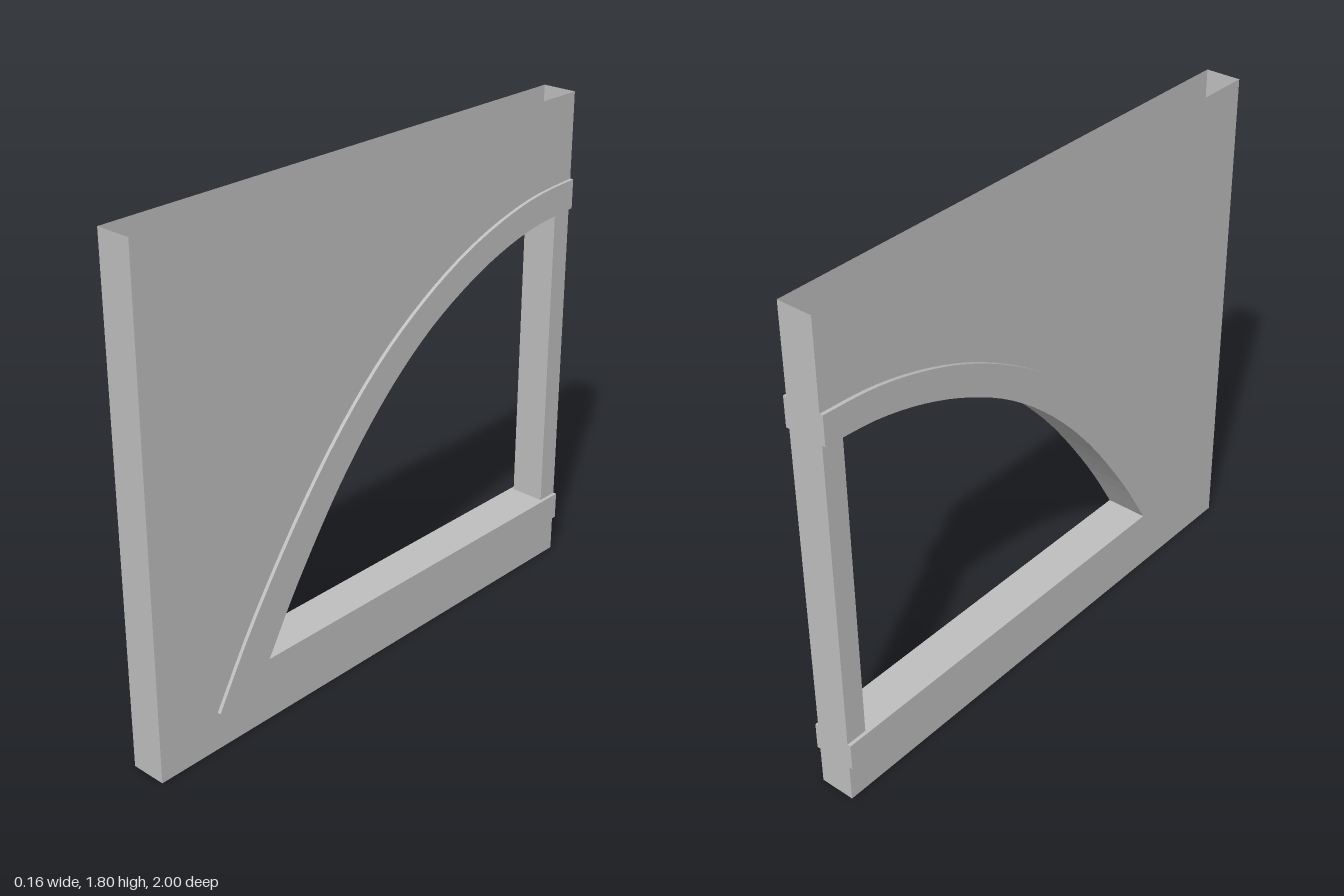
import * as THREE from 'three';

const H = 1.805;          // wall height
const WALL = 0.065;       // half thickness of the wall
const TRIM = 0.078;       // half thickness of the raised frame
const SILL = 0.24, BASE = 0.14;

const curve = (pts) => new THREE.SplineCurve(pts.map(([z, y]) => new THREE.Vector2(z, y))).getPoints(32);
const V = (z, y) => new THREE.Vector2(z, y);

// Outer and inner edge of the arched frame, as (z, y), from foot to crown
const outer = curve([[0.757, BASE], [0.6, 0.405], [0.4, 0.69], [0.2, 0.93], [0, 1.12],
  [-0.2, 1.26], [-0.4, 1.365], [-0.6, 1.437], [-0.8, 1.48], [-1, 1.493]]);
const inner = curve([[0.535, SILL], [0.4, 0.465], [0.2, 0.745], [0, 0.965],
  [-0.2, 1.13], [-0.4, 1.245], [-0.6, 1.325], [-0.8, 1.372], [-1, 1.386]]);

export function createModel() {
  const group = new THREE.Group();
  const grey = new THREE.MeshStandardMaterial({ color: 0xbfbfbf, side: THREE.DoubleSide });
  grey.name = 'plain grey';

  const add = (name, geometry) => {
    const mesh = new THREE.Mesh(geometry, grey);
    mesh.name = name;
    group.add(mesh);
    return mesh;
  };

  // Flat panel in the z-y plane; side +1 or -1 faces that way along x
  const panel = (name, pts, x, side) => {
    const geo = new THREE.ShapeGeometry(new THREE.Shape(pts));
    geo.rotateY(-Math.PI / 2);
    if (side > 0) {
      geo.index.array.reverse();
      geo.computeVertexNormals();
    }
    add(name, geo).position.x = x * side;
  };

  // Faceted strip across x along a path of (z, y) points
  const ribbon = (name, pts, x0, x1) => {
    const pos = [];
    for (let i = 0; i + 1 < pts.length; i++) {
      const a = pts[i], b = pts[i + 1];
      pos.push(x0, a.y, a.x, x1, a.y, a.x, x1, b.y, b.x);
      pos.push(x0, a.y, a.x, x1, b.y, b.x, x0, b.y, b.x);
    }
    const geo = new THREE.BufferGeometry();
    geo.setAttribute('position', new THREE.Float32BufferAttribute(pos, 3));
    geo.computeVertexNormals();
    add(name, geo);
  };

  const wall = [V(-1, 0), V(1, 0), V(1, H), V(-1, H), ...[...outer].reverse(), V(-1, BASE)];
  const trim = [V(-1, BASE), ...outer, ...[...inner].reverse(), V(-1, SILL)];

  for (const side of [1, -1]) {
    panel('wallFace', wall, WALL, side);
    panel('frameFace', trim, TRIM, side);
    // Raised lip along the outer edge of the arch
    ribbon('frameLip', outer, WALL * side, TRIM * side);
  }

  // Arch surfaces and base of the frame; the foot is open inside the hollow wall
  ribbon('archTop', outer.filter((p) => p.x <= 0.53), WALL, -WALL);
  ribbon('archFoot', outer.filter((p) => p.y <= SILL + 0.03), WALL, -WALL);
  ribbon('archUnderside', inner, -TRIM, TRIM);
  ribbon('sill', [V(0.69, SILL), V(0.535, SILL)], WALL, -WALL);
  ribbon('sill', [V(0.535, SILL), V(-1, SILL)], TRIM, -TRIM);
  ribbon('frameBase', [V(-1, BASE), V(0.757, BASE)], TRIM, -TRIM);

  // Ends of the hollow wall and of the frame; top and bottom stay open
  ribbon('frontEnd', [V(1, 0), V(1, H)], -WALL, WALL);
  ribbon('backEndLower', [V(-1, 0), V(-1, BASE)], WALL, -WALL);
  ribbon('backEndUpper', [V(-1, 1.493), V(-1, H)], WALL, -WALL);
  ribbon('frameEndLower', [V(-1, BASE), V(-1, SILL)], TRIM, -TRIM);
  ribbon('frameEndUpper', [V(-1, 1.386), V(-1, 1.493)], TRIM, -TRIM);

  // Upright closing the opening at the back
  add('post', new THREE.BoxGeometry(WALL * 2, 1.386 - SILL, 0.08))
    .position.set(0, (1.386 + SILL) / 2, -0.96);

  return group;
}
